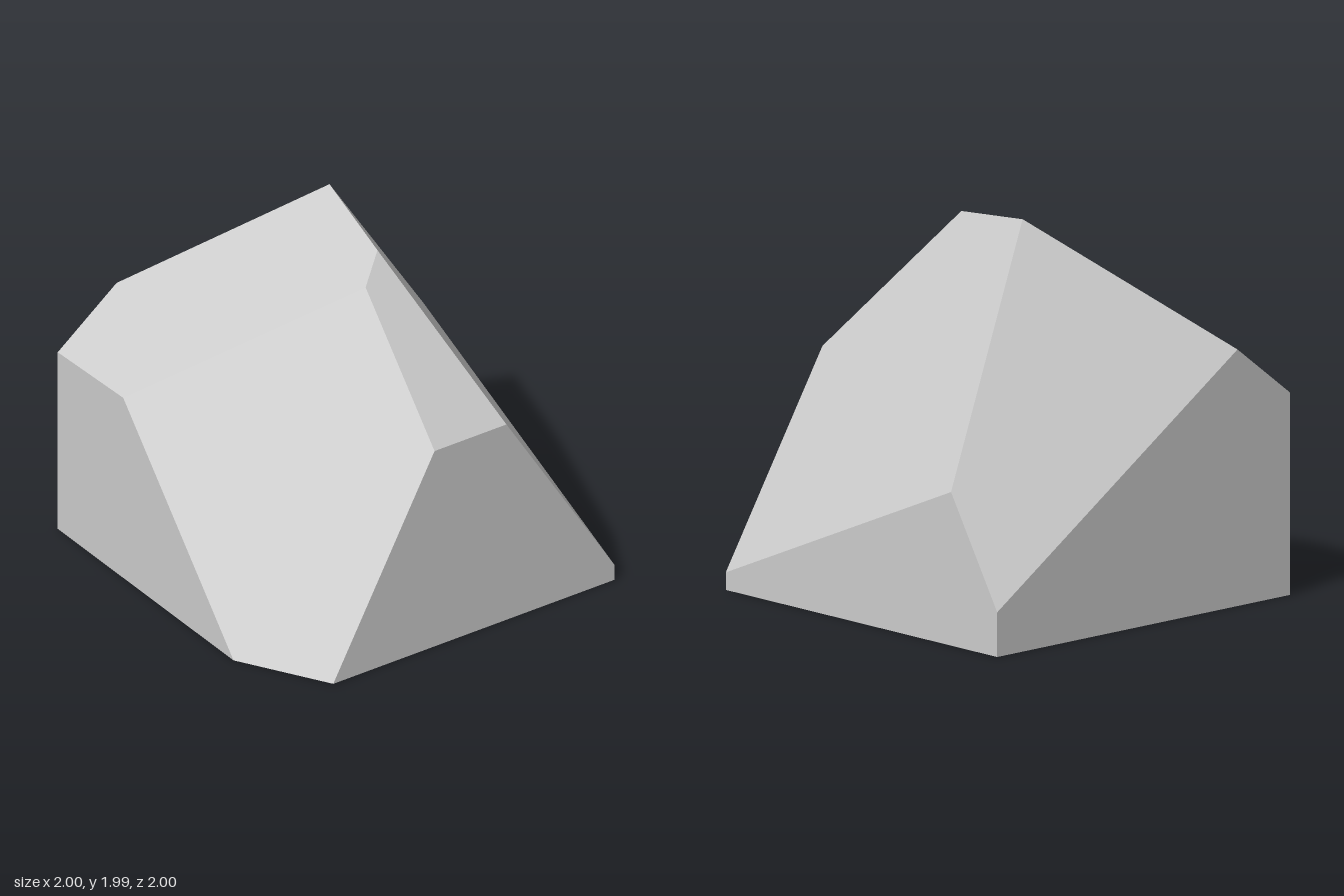
import * as THREE from 'three';

// Corners of the faceted boulder
const corners = [
  [-1, 0, -1], [1, 0, -1], [1, 0, 0.72], [0.53, 0, 1], [-1, 0, 1], // 0-4 base
  [-1, 1.04, 1], [-0.43, 1.06, 1], [-1, 1.32, 0.64],               // 5-7 front and left rim
  [-1, 0.23, -1], [-0.66, 0.79, -1], [1, 0.09, -1],                // 8-10 back rim
  [1, 1.15, -0.34], [1, 1.15, 0.1],                                // 11-12 right rim
  [0.4, 1.81, 0.1], [0.29, 1.92, -0.05], [-0.27, 1.99, -0.15],     // 13-15 crest
].map((c) => new THREE.Vector3(...c));

// Each facet is a corner loop, counter-clockwise from outside
const facets = [
  [0, 1, 2, 3, 4],        // base
  [4, 3, 6, 5],           // front
  [0, 4, 5, 7, 8],        // left
  [1, 0, 8, 9, 10],       // back
  [2, 1, 10, 11, 12],     // right
  [3, 2, 12, 13, 6],      // front right cut
  [5, 6, 13, 14, 15, 7],  // upper front slope
  [12, 11, 14, 13],       // upper right slope
  [11, 10, 9, 15, 14],    // back slope
  [8, 7, 15, 9],          // left slope
];

function facetedGeometry() {
  const positions = [], normals = [];
  for (const loop of facets) {
    const points = loop.map((i) => corners[i]);
    // One shared normal keeps each facet evenly flat
    const normal = new THREE.Vector3();
    points.forEach((p, i) => {
      normal.add(new THREE.Vector3().crossVectors(p, points[(i + 1) % points.length]));
    });
    normal.normalize();
    for (let i = 1; i < points.length - 1; i++) {
      for (const p of [points[0], points[i], points[i + 1]]) {
        positions.push(...p.toArray());
        normals.push(...normal.toArray());
      }
    }
  }
  const geometry = new THREE.BufferGeometry();
  geometry.setAttribute('position', new THREE.Float32BufferAttribute(positions, 3));
  geometry.setAttribute('normal', new THREE.Float32BufferAttribute(normals, 3));
  return geometry;
}

export function createModel() {
  const group = new THREE.Group();
  group.name = 'boulder';
  const rock = new THREE.Mesh(facetedGeometry(), new THREE.MeshStandardMaterial({ color: 0xcccccc }));
  rock.name = 'rock';
  group.add(rock);
  return group;
}
